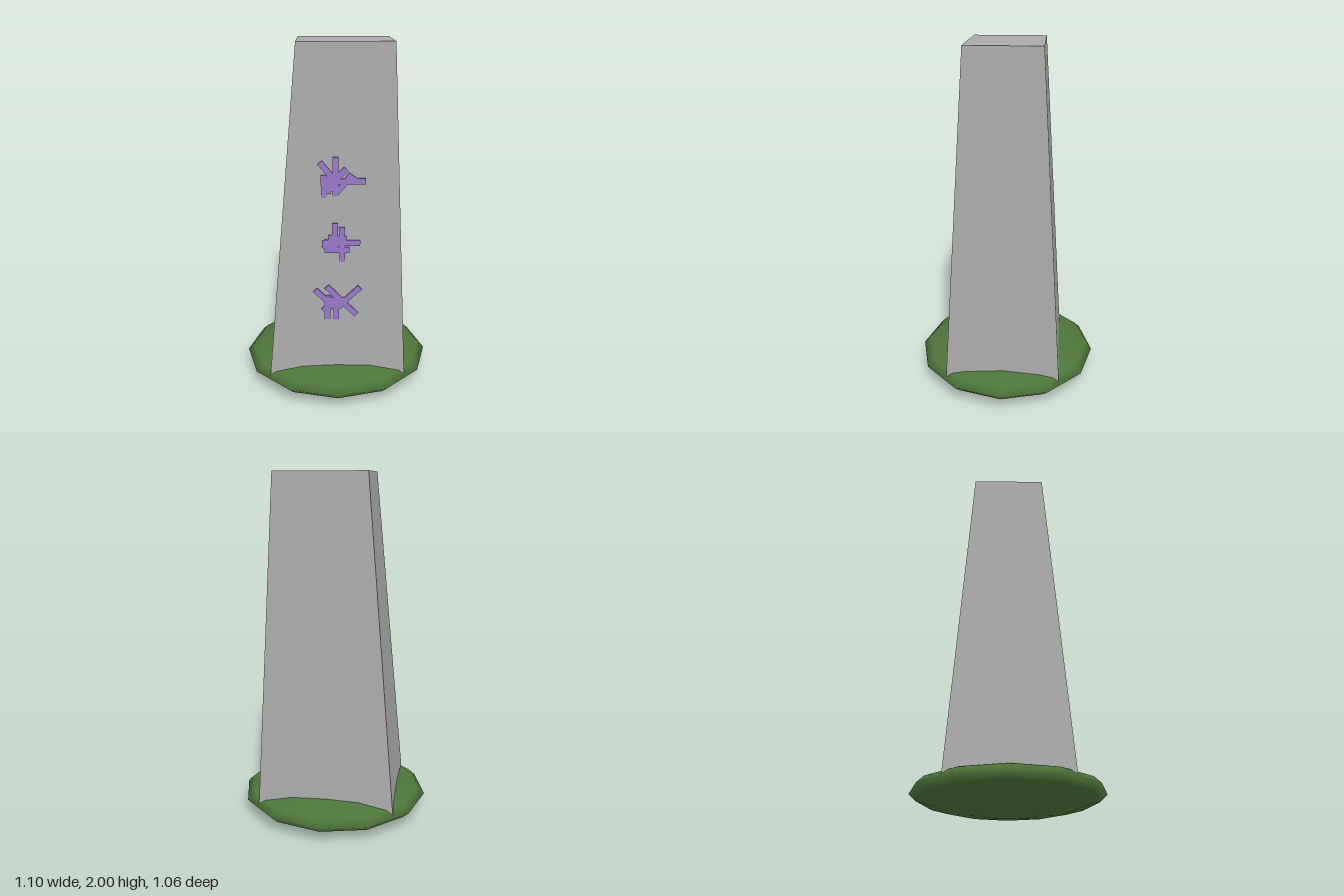
import * as THREE from 'three';

const stone = new THREE.MeshStandardMaterial({ name: 'grey stone', color: 0xaaaaaa });
const grass = new THREE.MeshStandardMaterial({ name: 'green grass', color: 0x4d7539 });
const rune = new THREE.MeshStandardMaterial({ name: 'purple rune', color: 0x9a78cc });

// Each carved sign: plate depth position, then strokes as [x1, y1, x2, y2]
const SIGNS = [
  { name: 'upperSign', z: 0.261, strokes: [
    [-0.01, 1.405, -0.01, 1.19], [-0.095, 1.375, 0, 1.26], [0.05, 1.34, -0.04, 1.25],
    [0.155, 1.27, 0.06, 1.27], [0.105, 1.27, 0.055, 1.305], [0.075, 1.3, -0.01, 1.2],
    [-0.073, 1.178, -0.073, 1.305], [-0.05, 1.2, -0.05, 1.3], [-0.085, 1.23, 0.02, 1.23],
    [-0.06, 1.27, 0.07, 1.27] ] },
  { name: 'middleSign', z: 0.285, strokes: [
    [-0.012, 1.04, -0.012, 0.87], [0.026, 1.015, 0.026, 0.812], [0.127, 0.922, -0.085, 0.922],
    [-0.075, 0.89, -0.02, 0.955], [-0.07, 0.882, 0.068, 0.882], [-0.075, 0.935, -0.02, 0.885],
    [-0.05, 0.955, 0.05, 0.945] ] },
  { name: 'lowerSign', z: 0.309, strokes: [
    [-0.125, 0.65, -0.02, 0.545], [-0.06, 0.67, 0.107, 0.495], [0.127, 0.665, -0.02, 0.52],
    [-0.056, 0.47, -0.056, 0.615], [-0.006, 0.466, -0.006, 0.615], [-0.08, 0.52, 0.01, 0.61],
    [-0.075, 0.588, 0.045, 0.588] ] },
];

// Leaning pillar: a box with its top corners drawn inwards
function makePillar() {
  const bottomY = 0.1, topY = 2;
  const geo = new THREE.BoxGeometry(1, 1, 1);
  const p = geo.attributes.position;
  for (let i = 0; i < p.count; i++) {
    const right = p.getX(i) > 0, top = p.getY(i) > 0, front = p.getZ(i) > 0;
    const x = top ? (right ? 0.305 : -0.215) : (right ? 0.392 : -0.392);
    const z = top ? (front ? 0.205 : -0.208) : (front ? 0.33 : -0.33);
    p.setXYZ(i, x, top ? topY : bottomY, z);
  }
  const flat = geo.toNonIndexed();
  flat.computeVertexNormals();
  const mesh = new THREE.Mesh(flat, stone);
  mesh.name = 'pillar';
  return mesh;
}

// Flattened twelve-sided mound under the pillar
function makeMound() {
  const geo = new THREE.SphereGeometry(1, 12, 8);
  geo.scale(0.552, 0.1, 0.531);
  geo.translate(0, 0.1, 0);
  const mesh = new THREE.Mesh(geo, grass);
  mesh.name = 'grassMound';
  return mesh;
}

// One straight stroke of a sign
function makeStroke([x1, y1, x2, y2]) {
  const length = Math.hypot(x2 - x1, y2 - y1);
  const mesh = new THREE.Mesh(new THREE.BoxGeometry(length, 0.032, 0.009), rune);
  mesh.position.set((x1 + x2) / 2, (y1 + y2) / 2, 0);
  mesh.rotation.z = Math.atan2(y2 - y1, x2 - x1);
  mesh.name = 'signStroke';
  return mesh;
}

export function createModel() {
  const model = new THREE.Group();
  model.name = 'standingStone';
  model.add(makePillar(), makeMound());
  for (const { name, z, strokes } of SIGNS) {
    const sign = new THREE.Group();
    sign.name = name;
    sign.position.z = z;
    sign.add(...strokes.map(makeStroke));
    model.add(sign);
  }
  return model;
}
